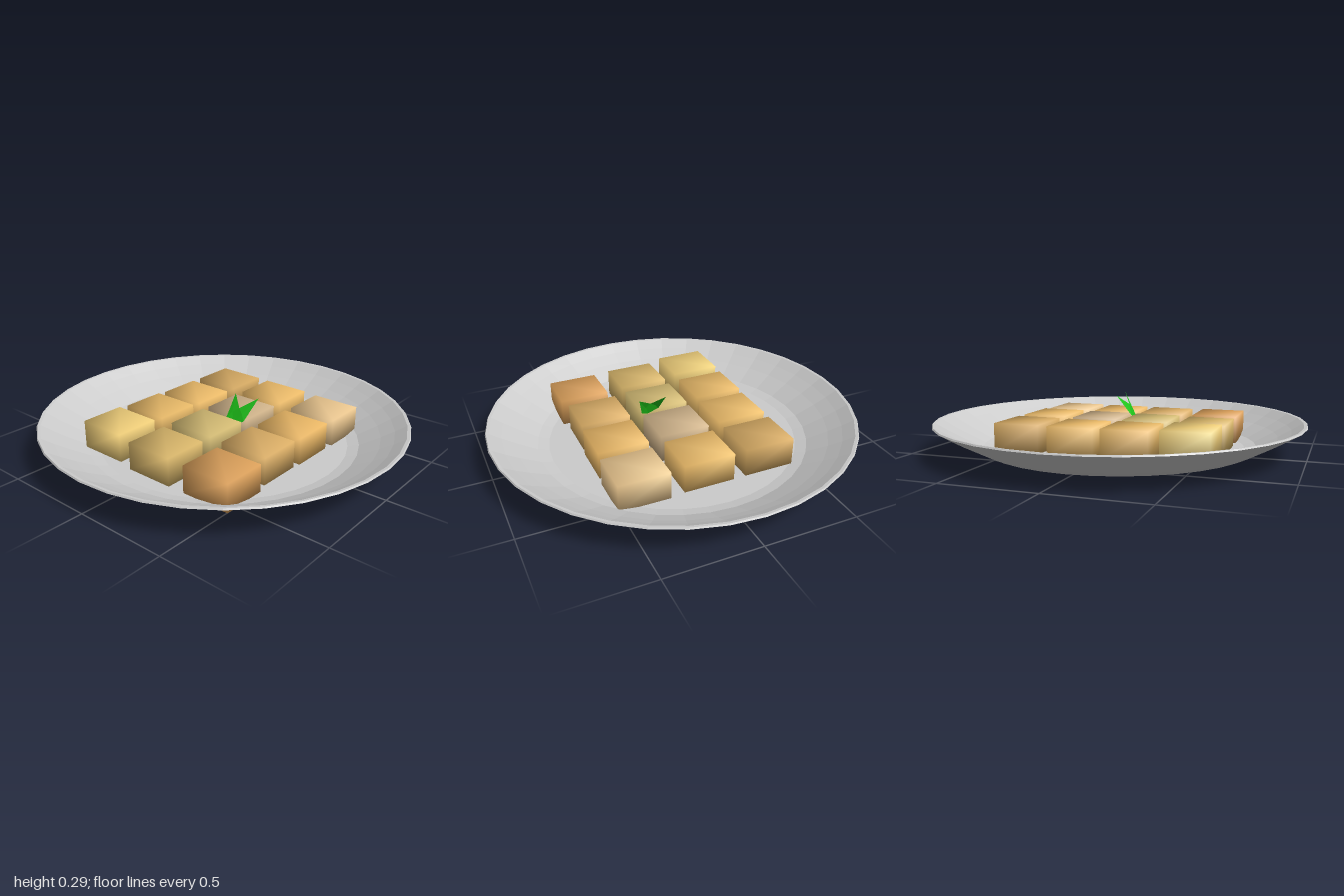
import * as THREE from 'three';
import { mergeVertices } from 'three/addons/utils/BufferGeometryUtils.js';

// Box whose corners share vertices, so shading is soft across the edges
function softBox(w, h, d) {
  const g = new THREE.BoxGeometry(w, h, d);
  g.deleteAttribute('normal');
  g.deleteAttribute('uv');
  const merged = mergeVertices(g);
  merged.computeVertexNormals();
  return merged;
}

// Leaf folded along its midrib, which runs base - mid - tip
function leafGeometry(base, left, tip, right, mid) {
  const g = new THREE.BufferGeometry();
  const pos = [base, left, tip, right, mid].flat();
  g.setAttribute('position', new THREE.Float32BufferAttribute(pos, 3));
  g.setIndex([0, 1, 4, 1, 2, 4, 2, 3, 4, 3, 0, 4]);
  g.computeVertexNormals();
  return g;
}

export function createModel() {
  const model = new THREE.Group();
  model.name = 'plateOfCubes';

  // Shallow plate: underside, rim, then the inner surface
  const profile = [
    [0, 0], [0.6, 0], [0.65, 0.004], [0.73, 0.02], [0.79, 0.048], [0.88, 0.095],
    [0.95, 0.135], [1, 0.165], [0.995, 0.172], [0.98, 0.17], [0.92, 0.132],
    [0.85, 0.092], [0.74, 0.036], [0.68, 0.023], [0, 0.02],
  ].map(([r, y]) => new THREE.Vector2(r, y));
  const plate = new THREE.Mesh(
    new THREE.LatheGeometry(profile, 36),
    new THREE.MeshStandardMaterial({ color: 0xcccccc, flatShading: true }),
  );
  plate.name = 'plate';
  model.add(plate);

  // Food cubes, back row to front row: [x, z, top, colour]
  const cubes = [
    [-0.478, -0.315, 0.195, 0xf4d27c], [-0.177, -0.315, 0.185, 0xeabb69],
    [0.11, -0.308, 0.181, 0xf2c06c], [0.41, -0.303, 0.181, 0xd8ac64],
    [-0.477, 0.023, 0.175, 0xdcb96c], [-0.173, 0.025, 0.178, 0xd8bf76],
    [0.113, 0.03, 0.178, 0xd3b68c], [0.41, 0.035, 0.179, 0xf2c06c],
    [-0.472, 0.387, 0.17, 0xdfa35c], [-0.168, 0.365, 0.17, 0xe0b268],
    [0.12, 0.373, 0.17, 0xf0bc68], [0.416, 0.38, 0.17, 0xf0cb92],
  ];
  const height = 0.15;
  const cubeGeometry = softBox(0.245, height, 0.272);
  const food = new THREE.Group();
  food.name = 'foodCubes';
  cubes.forEach(([x, z, top, color], i) => {
    const cube = new THREE.Mesh(cubeGeometry, new THREE.MeshStandardMaterial({ color }));
    cube.name = `cube${i + 1}`;
    cube.position.set(x, top - height / 2, z);
    food.add(cube);
  });
  model.add(food);

  // Garnish: two leaves rising from one stem between the cubes
  const green = new THREE.MeshStandardMaterial({
    color: 0x1fc41a, flatShading: true, side: THREE.DoubleSide,
  });
  const garnish = new THREE.Group();
  garnish.name = 'garnish';
  const base = [-0.055, 0.15, 0.115];
  const notch = [-0.015, 0.235, 0.12];
  const leaves = [
    leafGeometry(base, [-0.035, 0.175, 0.165], [0.04, 0.295, 0.205], notch, [-0.025, 0.21, 0.145]),
    leafGeometry(base, notch, [0.037, 0.287, 0.053], [-0.052, 0.175, 0.06], [-0.03, 0.21, 0.085]),
  ];
  leaves.forEach((g, i) => {
    const leaf = new THREE.Mesh(g, green);
    leaf.name = i ? 'backLeaf' : 'frontLeaf';
    garnish.add(leaf);
  });
  model.add(garnish);

  return model;
}
